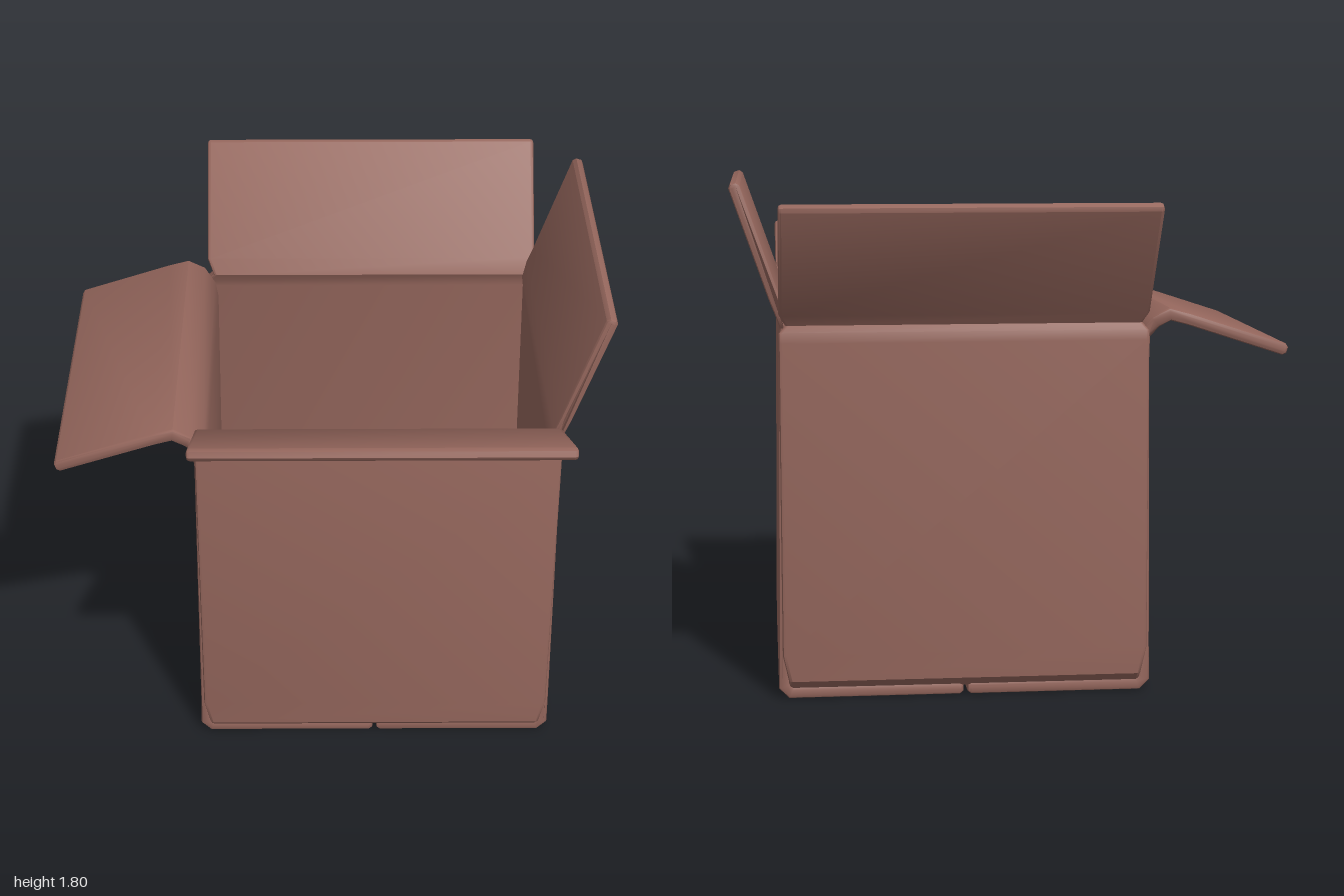
import * as THREE from 'three';
import { toCreasedNormals } from 'three/addons/utils/BufferGeometryUtils.js';

const THICK = 0.042, BEVEL = 0.012;
const CENTRE_X = 0.165, CENTRE_Z = -0.08;

// Outline of a sheet of card that follows a centre line, with rounded ends
function sheetShape(points) {
  const p = points.map(([u, y]) => new THREE.Vector2(u, y));
  const h = THICK / 2, last = p.length - 1;
  const left = [], right = [];
  p.forEach((c, i) => {
    const a = p[Math.min(i + 1, last)].clone().sub(p[Math.min(i, last - 1)]).normalize();
    const b = p[Math.max(i, 1)].clone().sub(p[Math.max(i - 1, 0)]).normalize();
    const dir = a.clone().add(b).normalize();
    const n = new THREE.Vector2(-dir.y, dir.x).multiplyScalar(h / Math.max(0.5, dir.dot(a)));
    if (i === 0 || i === last) {
      // chamfered end: full thickness a little inside, thinner at the tip
      const back = dir.clone().multiplyScalar(i === 0 ? 0.012 : -0.012);
      const inner = c.clone().add(back), thin = n.clone().multiplyScalar(0.5);
      const order = i === 0 ? [[c, thin], [inner, n]] : [[inner, n], [c, thin]];
      for (const [q, m] of order) {
        left.push(q.clone().add(m));
        right.push(q.clone().sub(m));
      }
    } else {
      left.push(c.clone().add(n));
      right.push(c.clone().sub(n));
    }
  });
  return new THREE.Shape([...left, ...right.reverse()]);
}

// One folded panel: bottom flap, wall and top flap in a single sheet
function panelGeometry(points, width, crease, taper) {
  const geo = new THREE.ExtrudeGeometry(sheetShape(points), {
    depth: width - 2 * BEVEL, bevelThickness: BEVEL, bevelSize: BEVEL,
    bevelOffset: -BEVEL, bevelSegments: 2, steps: 1,
  });
  geo.translate(0, 0, BEVEL - width / 2);
  const pos = geo.attributes.position;
  for (let i = 0; i < pos.count; i++) {
    const u = pos.getX(i), y = pos.getY(i), z = pos.getZ(i);
    // narrower at the crease and towards the bottom fold
    const near = Math.hypot(u - crease[0], y - crease[1]) < 0.035 ? 0.022 : 0;
    const low = taper * THREE.MathUtils.clamp((0.16 - y) / 0.1, 0, 1);
    pos.setZ(i, z - Math.sign(z) * (near + low));
  }
  return toCreasedNormals(geo, 0.75);
}

export function createModel() {
  const box = new THREE.Group();
  box.name = 'openCardboardBox';
  const card = new THREE.MeshStandardMaterial({ color: 0x94665c });

  const add = (name, geo, x, z) => {
    const mesh = new THREE.Mesh(geo, card);
    mesh.name = name;
    mesh.position.set(x, 0, z);
    box.add(mesh);
  };

  // Front and back panels: centre lines in (z, y)
  const frontLine = [
    [-0.073, 0.053], [0.525, 0.053], [0.547, 0.075], [0.549, 0.16], [0.549, 1.25],
    [0.543, 1.28], [0.515, 1.31], [0.535, 1.34], [0.99, 1.562],
  ];
  const backLine = [
    [-0.087, 0.053], [-0.677, 0.053], [-0.699, 0.075], [-0.701, 0.16], [-0.701, 1.25],
    [-0.697, 1.28], [-0.68, 1.31], [-0.704, 1.355], [-0.988, 1.73],
  ];
  for (const [name, line] of [['frontPanel', frontLine], ['backPanel', backLine]]) {
    const geo = panelGeometry(line, 1.28, line[6], 0.022);
    geo.rotateY(-Math.PI / 2);
    add(name, geo, CENTRE_X, 0);
  }

  // Side panels: centre lines in (x, y)
  const leftLine = [
    [0.172, 0.021], [0.775, 0.021], [0.798, 0.044], [0.797, 0.16], [0.785, 1.25],
    [0.778, 1.3], [0.793, 1.345], [0.815, 1.4], [0.952, 1.795],
  ];
  const rightLine = [
    [0.158, 0.021], [-0.446, 0.021], [-0.469, 0.044], [-0.467, 0.16], [-0.458, 1.2],
    [-0.466, 1.265], [-0.5, 1.31], [-0.552, 1.336], [-0.62, 1.318], [-0.968, 1.205],
  ];
  add('leftPanel', panelGeometry(leftLine, 1.23, leftLine[5], 0), 0, CENTRE_Z);
  add('rightPanel', panelGeometry(rightLine, 1.23, rightLine[5], 0), 0, CENTRE_Z);

  return box;
}
